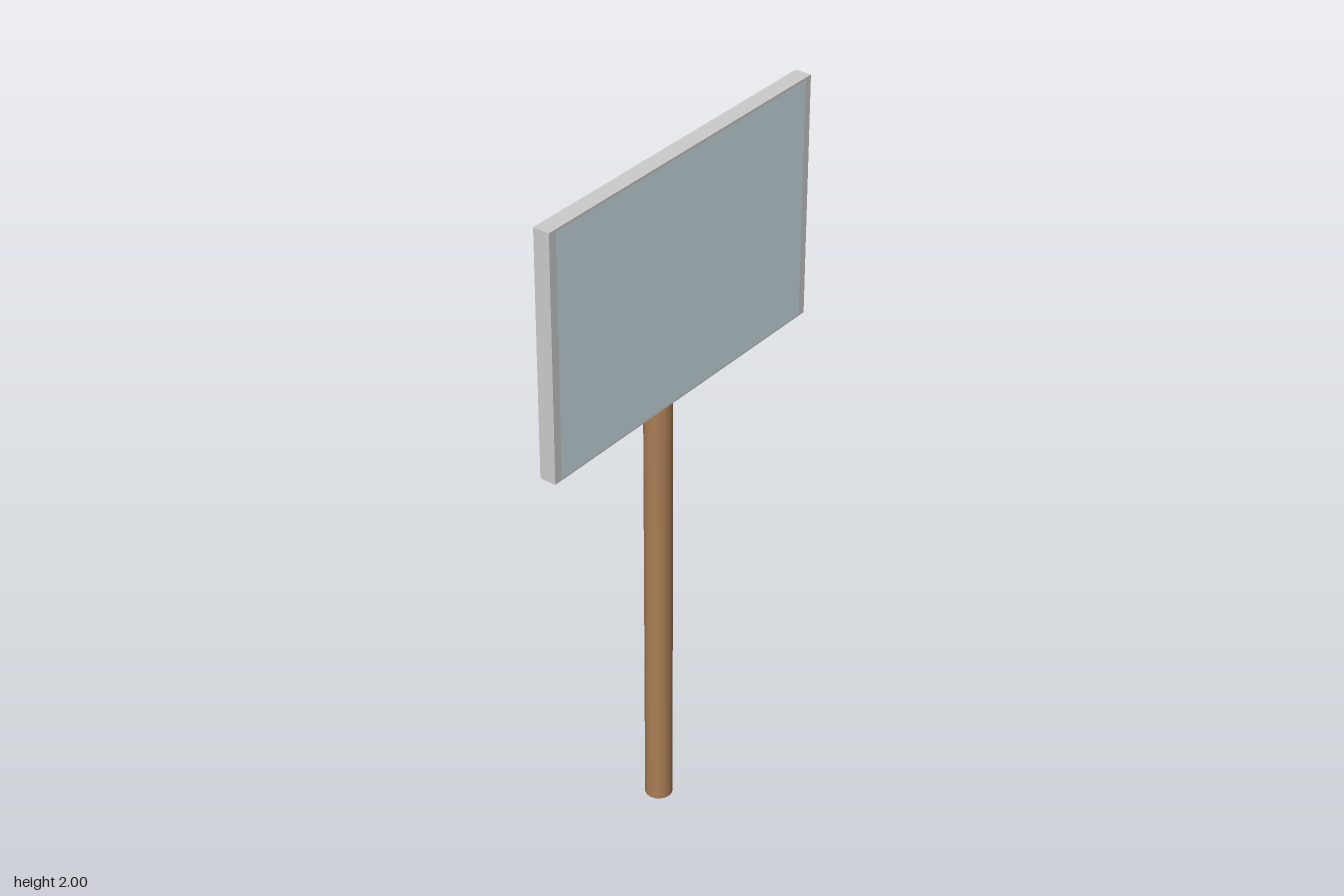
import * as THREE from 'three';

export function createModel() {
  const model = new THREE.Group();
  model.name = 'signpost';

  const add = (name, geometry, color, x, y, side = THREE.FrontSide) => {
    const mesh = new THREE.Mesh(geometry, new THREE.MeshStandardMaterial({ color, side }));
    mesh.name = name;
    mesh.position.set(x, y, 0);
    model.add(mesh);
    return mesh;
  };

  // Round post, an open tube
  add('post', new THREE.CylinderGeometry(0.038, 0.038, 1.6, 16, 1, true), 0xaa7d55, -0.025, 0.8, THREE.DoubleSide);

  // Flat board fixed to the +x side of the post
  add('board', new THREE.BoxGeometry(0.046, 0.68, 1.01), 0xcccccc, 0.037, 1.66);

  // Pale face sheet with a narrow margin
  const face = add('boardFace', new THREE.PlaneGeometry(0.964, 0.668), 0xcbdde4, 0.061, 1.66, THREE.DoubleSide);
  face.rotation.y = Math.PI / 2;

  return model;
}
